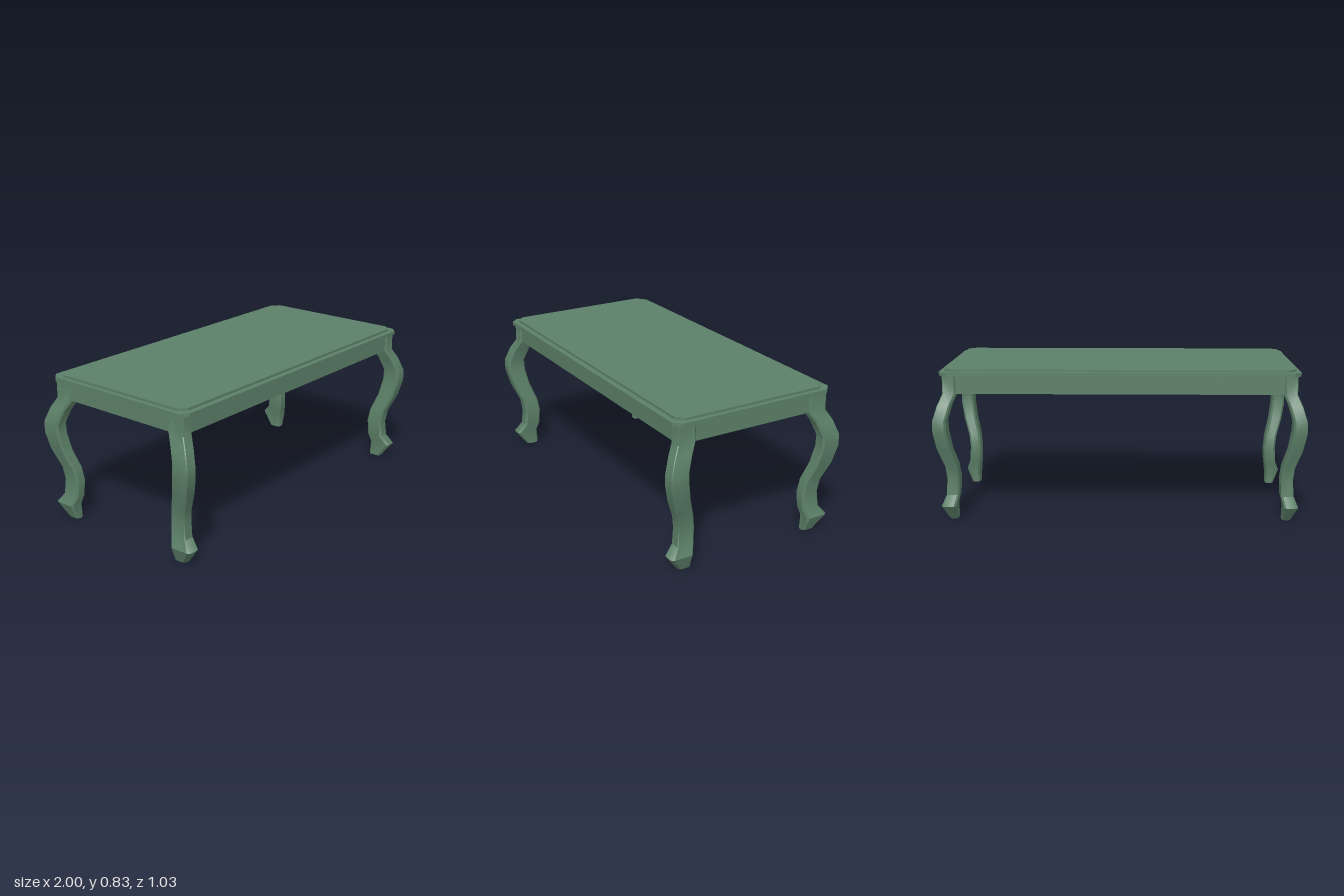
import * as THREE from 'three';
import { toCreasedNormals } from 'three/addons/utils/BufferGeometryUtils.js';

// Leg stations from top to floor: height, outer z, inner z
const LEG = [
  [0.797, 0.452, 0.346], [0.697, 0.452, 0.346], [0.64, 0.486, 0.38], [0.56, 0.517, 0.411],
  [0.497, 0.517, 0.409], [0.4, 0.494, 0.39], [0.297, 0.45, 0.353], [0.225, 0.439, 0.342],
  [0.136, 0.447, 0.347], [0.083, 0.494, 0.364], [0, 0.434, 0.361],
];

// Cabriole leg: chamfered rectangles lofted down the S-curve, mirrored by sx, sz
function legGeometry(sx, sz) {
  const pos = [], index = [], n = 8;
  LEG.forEach(([y, zo, zi], i) => {
    const xo = (i === 9 ? 0.968 : 0.95 + 0.74 * (zo - 0.452));
    const xi = 0.878 + 0.74 * (zi - 0.346);
    const c = 0.011, o = i > 8 ? 0.014 : 0.004;
    const ring = [
      [xo, zo - o], [xo - o, zo], [xi + c, zo], [xi, zo - c],
      [xi, zi + c], [xi + c, zi], [xo - c, zi], [xo, zi + c],
    ];
    ring.forEach(([x, z]) => pos.push(sx * x, y, sz * z));
  });
  const tri = (a, b, c) => (sx * sz > 0 ? index.push(a, b, c) : index.push(a, c, b));
  for (let i = 0; i < LEG.length - 1; i++) {
    for (let j = 0; j < n; j++) {
      const k = (j + 1) % n, a = i * n + j, b = i * n + k;
      tri(a, b, b + n);
      tri(a, b + n, a + n);
    }
  }
  // End caps
  const last = (LEG.length - 1) * n;
  for (let j = 1; j < n - 1; j++) {
    tri(0, j + 1, j);
    tri(last, last + j, last + j + 1);
  }
  const g = new THREE.BufferGeometry();
  g.setAttribute('position', new THREE.Float32BufferAttribute(pos, 3));
  g.setIndex(index);
  return toCreasedNormals(g, 0.6);
}

// Horizontal slab with clipped corners
function slabGeometry(hx, hz, cut, y0, y1) {
  const s = new THREE.Shape([
    [hx, hz - cut], [hx - cut, hz], [cut - hx, hz], [-hx, hz - cut],
    [-hx, cut - hz], [cut - hx, -hz], [hx - cut, -hz], [hx, cut - hz],
  ].map(([x, y]) => new THREE.Vector2(x, y)));
  const g = new THREE.ExtrudeGeometry(s, { depth: y1 - y0, bevelEnabled: false });
  return g.rotateX(-Math.PI / 2).translate(0, y0, 0);
}

export function createModel() {
  const table = new THREE.Group();
  table.name = 'table';
  const green = new THREE.MeshStandardMaterial({ color: 0x5c8068 });
  green.name = 'green paint';

  const add = (name, geometry, x = 0, y = 0, z = 0) => {
    const mesh = new THREE.Mesh(geometry, green);
    mesh.name = name;
    mesh.position.set(x, y, z);
    table.add(mesh);
  };

  // Stepped table top
  add('topEdge', slabGeometry(0.967, 0.476, 0.04, 0.796, 0.817));
  add('topPanel', slabGeometry(0.942, 0.445, 0.04, 0.816, 0.83));

  // Closed apron under the top
  add('apron', new THREE.BoxGeometry(1.88, 0.1, 0.884), 0, 0.747, 0);

  // Thin drawer fronts on the back, either side of a narrow stile
  for (const s of [1, -1]) {
    add(s > 0 ? 'leftDrawer' : 'rightDrawer',
      new THREE.BoxGeometry(0.47, 0.098, 0.006), s * 0.273, 0.747, -0.443);
  }

  // Four legs, with square blocks at the apron corners
  for (const sx of [1, -1]) {
    for (const sz of [1, -1]) {
      add((sz > 0 ? 'front' : 'back') + (sx > 0 ? 'Left' : 'Right') + 'Leg', legGeometry(sx, sz));
    }
  }
  return table;
}
